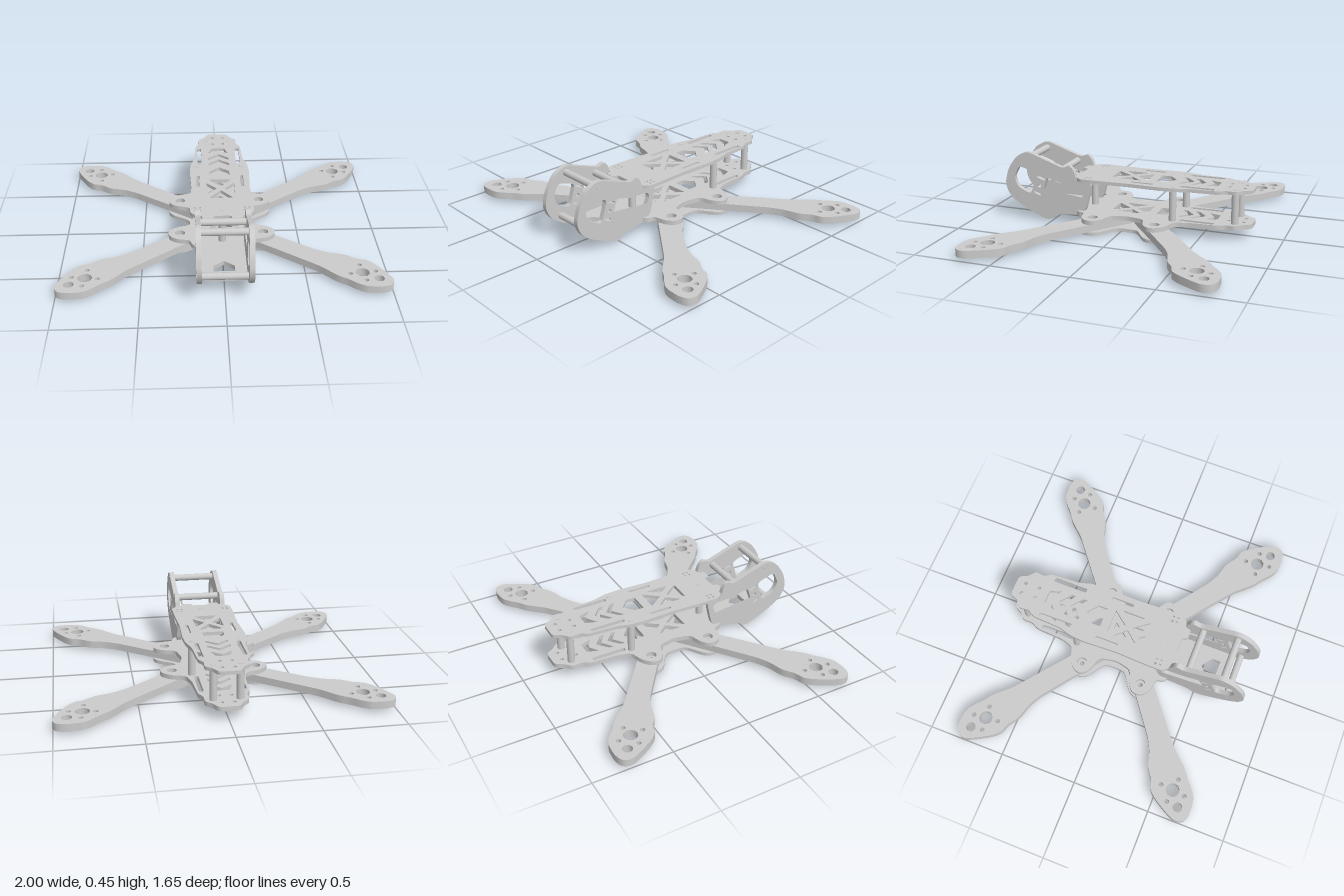
import * as THREE from 'three';
import { toCreasedNormals } from 'three/addons/utils/BufferGeometryUtils.js';

const material = new THREE.MeshStandardMaterial({ color: 0xcccccc });
const MID = -0.04; // z of the centre of the arm cross

// Trace a closed polygon with rounded corners, always counter-clockwise
function trace(path, points, r) {
  let p = points.map(([x, y]) => new THREE.Vector2(x, y));
  if (THREE.ShapeUtils.area(p) < 0) p.reverse();
  const n = p.length;
  for (let i = 0; i < n; i++) {
    const a = p[(i + n - 1) % n], b = p[i], c = p[(i + 1) % n];
    const cut = (q) => b.clone().lerp(q, Math.min(0.5, r / b.distanceTo(q)));
    const s = cut(a), e = cut(c);
    if (i === 0) path.moveTo(s.x, s.y); else path.lineTo(s.x, s.y);
    path.quadraticCurveTo(b.x, b.y, e.x, e.y);
  }
  path.closePath();
  return path;
}

// Holes are either [x, y, radius] circles or { pts, r } rounded polygons
function sheet(outline, r, holes, depth) {
  const shape = trace(new THREE.Shape(), outline, r);
  for (const h of holes) {
    const path = new THREE.Path();
    if (Array.isArray(h)) path.absarc(h[0], h[1], h[2], 0, Math.PI * 2);
    else trace(path, h.pts, h.r);
    shape.holes.push(path);
  }
  return new THREE.ExtrudeGeometry(shape, { depth, bevelEnabled: false, curveSegments: 6 });
}

function add(group, geometry, name) {
  const mesh = new THREE.Mesh(geometry, material);
  mesh.name = name;
  group.add(mesh);
  return mesh;
}

// Horizontal plate drawn in (x, z), resting at height y
function plate(group, name, outline, r, holes, y, depth) {
  const flip = ([x, z]) => [x, -z];
  const flipped = holes.map((h) => Array.isArray(h)
    ? [h[0], -h[1], h[2]] : { pts: h.pts.map(flip), r: h.r });
  const g = sheet(outline.map(flip), r, flipped, depth);
  g.rotateX(-Math.PI / 2).translate(0, y, 0);
  add(group, toCreasedNormals(g, 0.6), name);
}

// Outline symmetric in x from its +x half, ordered rear to front
const mirrorX = (half) => [...half, ...half.map(([x, z]) => [-x, z]).reverse()];
const slot = (x, z0, z1, w) => ({
  pts: [[x - w, z0], [x + w, z0], [x + w, z1], [x - w, z1]], r: w });
const poly = (pts, r = 0.006) => ({ pts, r });
const pair = (x, z, r) => [[x, z, r], [-x, z, r]];

// Shared narrow rear end of both body plates
const tail = [[0.065, -0.81], [0.09, -0.755], [0.135, -0.72], [0.125, -0.66],
  [0.155, -0.615], [0.165, -0.43], [0.19, -0.345]];

function windows() {
  const chevron = (z) => poly([[0, z], [0.07, z + 0.06], [0.07, z + 0.09],
    [0, z + 0.035], [-0.07, z + 0.09], [-0.07, z + 0.06]]);
  return [
    poly([[-0.042, -0.585], [0.042, -0.585], [0.068, -0.51], [0, -0.555], [-0.068, -0.51]]),
    chevron(-0.5), chevron(-0.42),
    poly([[0, -0.305], [0.065, -0.25], [0.065, -0.19], [-0.065, -0.19], [-0.065, -0.25]]),
    poly([[-0.075, -0.135], [0.075, -0.135], [0, -0.04]]),
    poly([[-0.075, 0.105], [0.075, 0.105], [0, 0.005]]),
    poly([[0.09, -0.09], [0.09, 0.06], [0.025, -0.016]]),
    poly([[-0.09, -0.09], [-0.09, 0.06], [-0.025, -0.016]]),
    slot(0.13, -0.585, -0.36, 0.014), slot(-0.13, -0.585, -0.36, 0.014),
    ...pair(0.036, -0.75, 0.012), ...pair(0.036, -0.655, 0.012),
  ];
}

export function createModel() {
  const group = new THREE.Group();

  // Four arms, each a quarter of the cross with a drilled motor pad
  const arm = [[0, 0], [0, 0.1], [0.25, 0.3], [0.58, 0.56], [0.68, 0.67], [0.735, 0.705],
    [0.775, 0.745], [0.83, 0.782], [0.93, 0.79], [0.99, 0.772], [1.006, 0.715], [0.97, 0.64],
    [0.92, 0.555], [0.877, 0.507], [0.823, 0.497], [0.754, 0.445], [0.65, 0.417],
    [0.57, 0.375], [0.2, 0.1], [0.07, 0]];
  const padHoles = [[0.83, 0.64, 0.043], [0.92, 0.705, 0.031], [0.84, 0.72, 0.015],
    [0.91, 0.63, 0.015], [0.755, 0.65, 0.015], [0.823, 0.56, 0.015], [0.265, 0.205, 0.015]];
  for (const sx of [1, -1]) for (const sz of [1, -1]) {
    const place = ([x, w, ...rest]) => [sx * x, MID + sz * w, ...rest];
    plate(group, `${sz > 0 ? 'front' : 'rear'}${sx > 0 ? 'Left' : 'Right'}Arm`,
      arm.map(place), 0.03, padHoles.map(place), 0.022, 0.047);
  }

  // X-shaped clamp plate below the arms
  const clamp = [[0.1, 0.15], [0.2, 0.265], [0.265, 0.292], [0.325, 0.27], [0.345, 0.205],
    [0.325, 0.15], [0.2, 0.07]];
  const side = [...clamp.map(([x, w]) => [x, MID - w]),
    ...clamp.map(([x, w]) => [x, MID + w]).reverse()];
  const ears = [MID - 0.205, MID + 0.205];
  plate(group, 'clampPlate', mirrorX(side), 0.04,
    [...ears.flatMap((z) => pair(0.265, z, 0.015)), [0, MID, 0.015],
      ...pair(0.08, MID - 0.08, 0.013), ...pair(0.08, MID + 0.08, 0.013)], 0, 0.022);

  // Lower body plate with four ears and a camera tongue
  const lower = [...tail, [0.28, -0.32], [0.335, -0.27], [0.34, -0.215], [0.29, -0.175],
    [0.2, -0.15], [0.175, -0.04], [0.2, 0.07], [0.29, 0.095], [0.34, 0.135], [0.335, 0.2],
    [0.28, 0.24], [0.2, 0.25], [0.195, 0.3], [0.14, 0.33], [0.14, 0.66]];
  plate(group, 'lowerPlate', mirrorX(lower), 0.03, [...windows(),
    ...ears.flatMap((z) => pair(0.265, z, 0.032)),
    poly([[0, 0.49], [0.065, 0.545], [0.065, 0.6], [-0.065, 0.6], [-0.065, 0.545]])], 0.069, 0.029);

  // Upper body plate with a notched front edge
  const upper = [...tail, [0.197, -0.25], [0.188, -0.04], [0.197, 0.18], [0.198, 0.28],
    [0.16, 0.32], [0.125, 0.32], [0.125, 0.36], [0.055, 0.36], [0.055, 0.325]];
  plate(group, 'upperPlate', mirrorX(upper), 0.02, [...windows(),
    slot(0.143, -0.19, -0.04, 0.01), slot(-0.143, -0.19, -0.04, 0.01),
    ...[0.225, 0.255].flatMap((z) => [...pair(0.138, z, 0.008), ...pair(0.168, z, 0.008)])],
  0.295, 0.022);

  // Round standoffs between the body plates, and their screw heads
  for (const [x, z] of [[0, 0.255], [0.15, -0.325], [-0.15, -0.325], [0.08, -0.705], [-0.08, -0.705]]) {
    const post = add(group, new THREE.CylinderGeometry(0.023, 0.023, 0.197, 24), 'standoff');
    post.position.set(x, 0.1965, z);
    const screw = add(group, new THREE.CylinderGeometry(0.015, 0.015, 0.022, 20), 'standoffScrew');
    screw.position.set(x, 0.308, z);
  }

  // Camera cage side plates, drawn in (z, y)
  const cheek = [[0.825, 0.235], [0.8, 0.33], [0.74, 0.42], [0.66, 0.458], [0.405, 0.368],
    [0.365, 0.395], [0.33, 0.355], [0.318, 0.295], [0.212, 0.295], [0.235, 0.18], [0.255, 0.1],
    [0.3, 0.07], [0.46, 0.05], [0.49, 0.018], [0.54, 0.012], [0.67, 0.07], [0.76, 0.12],
    [0.805, 0.17]];
  const cheekHoles = [
    poly([[0.72, 0.358], [0.597, 0.315], [0.64, 0.172], [0.735, 0.215], [0.76, 0.28]], 0.03),
    poly([[0.52, 0.297], [0.415, 0.268], [0.28, 0.26], [0.258, 0.235], [0.295, 0.14], [0.575, 0.14]], 0.02),
    poly([[0.595, 0.304], [0.54, 0.288], [0.535, 0.272], [0.59, 0.288]], 0.01),
    poly([[0.62, 0.198], [0.565, 0.18], [0.56, 0.164], [0.615, 0.182]], 0.01),
    [0.578, 0.234, 0.012],
  ];
  for (const [x, name] of [[0.168, 'leftCameraPlate'], [-0.137, 'rightCameraPlate']]) {
    const g = sheet(cheek, 0.035, cheekHoles, 0.031);
    g.rotateY(-Math.PI / 2).translate(x, 0, 0);
    add(group, toCreasedNormals(g, 0.6), name);
  }

  // Cross bars joining the camera plates
  for (const [z, y] of [[0.66, 0.412], [0.437, 0.342], [0.71, 0.14]]) {
    const bar = add(group, new THREE.CylinderGeometry(0.022, 0.022, 0.276, 24), 'cameraCrossBar');
    bar.rotation.z = Math.PI / 2;
    bar.position.set(0, y, z);
    const pin = add(group, new THREE.CylinderGeometry(0.014, 0.014, 0.338, 20), 'crossBarScrew');
    pin.rotation.z = Math.PI / 2;
    pin.position.set(0, y, z);
  }
  return group;
}
